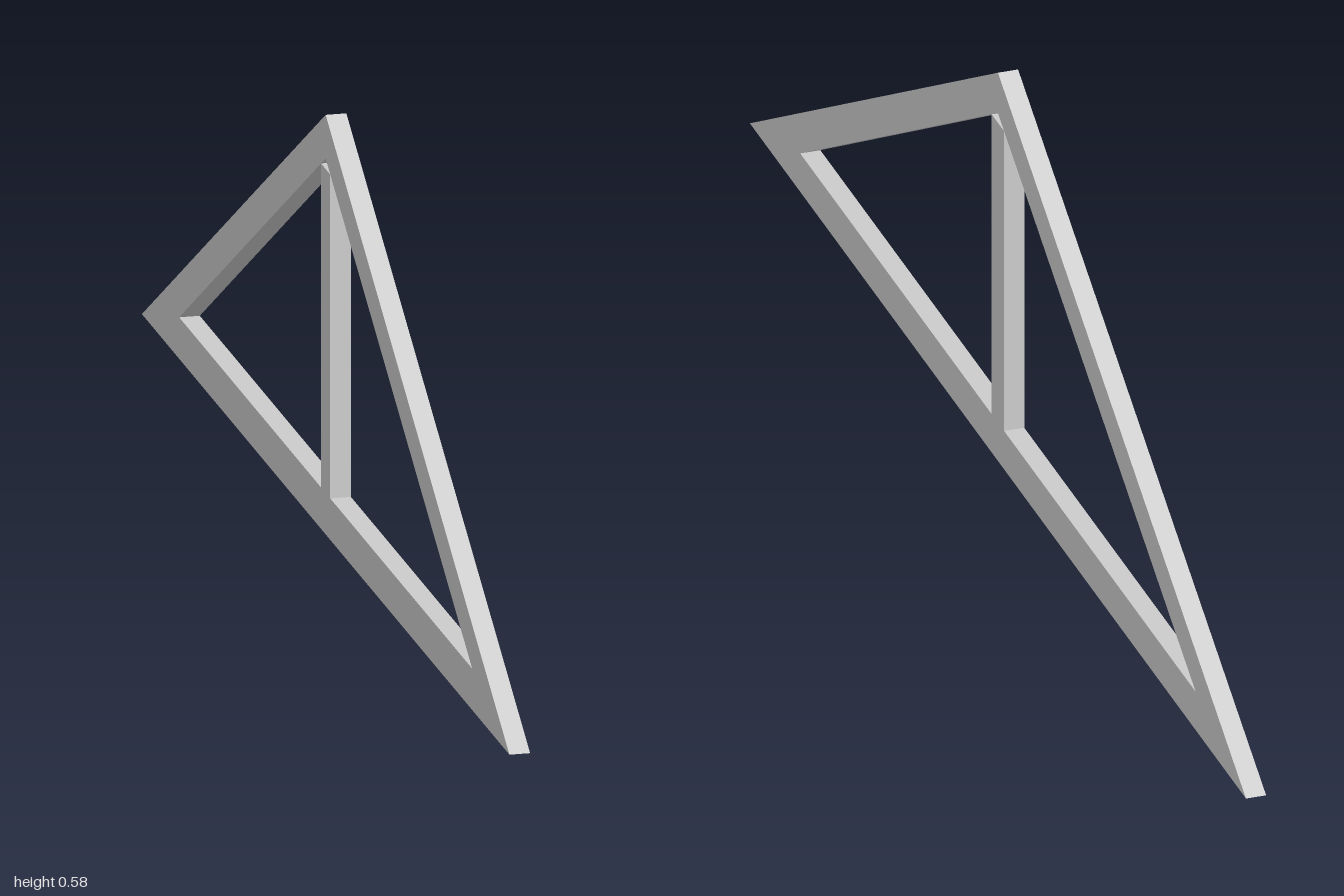
import * as THREE from 'three';

const THICK = 0.028;          // timber thickness along x
const PITCH = 0.577;          // rise of the roof per unit of half span
const CHORD = 0.057;          // bottom chord height
const DROP = 0.06;            // vertical depth of a rafter
const POST = 0.025;           // half width of the king post

const material = new THREE.MeshStandardMaterial({ color: 0xcccccc });

// z position of the roof slope, lowered by drop, at height y
const slopeZ = (y, drop = 0) => 1 - (y + drop) / PITCH;

// Timber cut to an outline of [z, y] points, centred on x = 0
function timber(name, outline) {
  const shape = new THREE.Shape(outline.map(([z, y]) => new THREE.Vector2(z, y)));
  const geometry = new THREE.ExtrudeGeometry(shape, { depth: THICK, bevelEnabled: false });
  geometry.translate(0, 0, -THICK / 2);
  geometry.rotateY(-Math.PI / 2);
  const mesh = new THREE.Mesh(geometry, material);
  mesh.name = name;
  return mesh;
}

export function createModel() {
  const truss = new THREE.Group();
  truss.name = 'roofTruss';

  // Bottom chord with ends bevelled to the roof slope
  const end = slopeZ(CHORD);
  truss.add(timber('bottomChord', [[-1, 0], [1, 0], [end, CHORD], [-end, CHORD]]));

  // Rafters, seated on the chord and mitred at the ridge
  for (const [name, side] of [['frontRafter', 1], ['backRafter', -1]]) {
    truss.add(timber(name, [
      [side * slopeZ(CHORD, DROP), CHORD],
      [side * end, CHORD],
      [0, PITCH],
      [0, PITCH - DROP],
    ]));
  }

  // King post, square cut so its top corners touch the rafters
  const top = PITCH - DROP - POST * PITCH;
  truss.add(timber('kingPost', [[-POST, CHORD], [POST, CHORD], [POST, top], [-POST, top]]));

  return truss;
}
